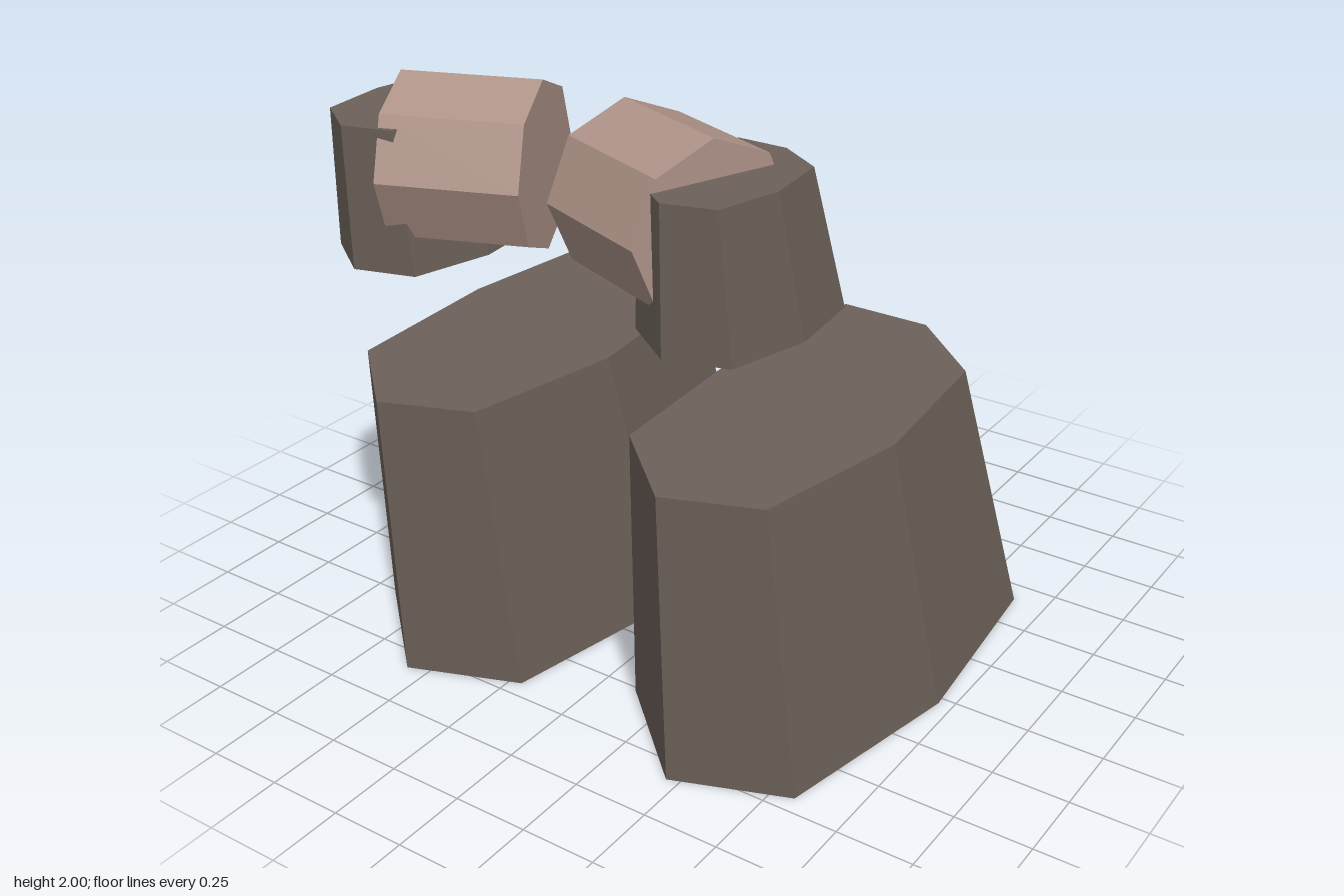
import * as THREE from 'three';

const brown = new THREE.MeshStandardMaterial({ color: 0x6d625a, flatShading: true });
brown.name = 'dark brown';
const tan = new THREE.MeshStandardMaterial({ color: 0xae9388, flatShading: true });
tan.name = 'dusty tan';

// Closed, leaning frustum: an [x, z] outline whose top is scaled and shifted
function leaningFrustum(outline, y0, y1, scale, shiftX, shiftZ) {
  const low = outline.map(([x, z]) => [x, y0, z]);
  const high = outline.map(([x, z]) => [x * scale + shiftX, y1, z * scale + shiftZ]);
  const tris = [];
  const n = outline.length;
  for (let i = 0; i < n; i++) {
    const j = (i + 1) % n;
    tris.push(low[i], high[i], low[j], low[j], high[i], high[j]);
    if (i > 0 && j > 0) {
      tris.push(low[0], low[i], low[j]);
      tris.push(high[0], high[j], high[i]);
    }
  }
  const geometry = new THREE.BufferGeometry();
  geometry.setAttribute('position', new THREE.Float32BufferAttribute(tris.flat(), 3));
  geometry.computeVertexNormals();
  return geometry;
}

export function createModel() {
  const group = new THREE.Group();
  const add = (name, geometry, material, x = 0, y = 0, z = 0) => {
    const mesh = new THREE.Mesh(geometry, material);
    mesh.name = name;
    mesh.position.set(x, y, z);
    group.add(mesh);
    return mesh;
  };

  // Feet: the same sloping block on both sides
  const foot = leaningFrustum([
    [-0.86, -0.96], [-0.48, -0.96], [-0.147, -0.66], [-0.08, 0.03],
    [-0.21, 0.69], [-0.575, 0.83], [-0.915, 0.515], [-0.953, -0.21],
  ], 0, 1, 0.8, -0.103, 0.223);
  add('rightFoot', foot, brown);
  add('leftFoot', foot, brown, 1.033);

  // Cuffs: smaller sloping blocks around the wrists
  const cuff = leaningFrustum([
    [-0.715, 0.25], [-0.52, 0.25], [-0.345, 0.36], [-0.318, 0.62],
    [-0.385, 0.87], [-0.572, 0.925], [-0.745, 0.8], [-0.768, 0.53],
  ], 1.445, 1.89, 0.8, -0.103, 0.203);
  add('rightCuff', cuff, brown);
  add('leftCuff', cuff, brown, 1.092);

  // Hands: eight-sided drums turned inwards
  const hand = new THREE.CylinderGeometry(0.256, 0.256, 0.424, 8).rotateZ(Math.PI / 2);
  add('rightHand', hand, tan, -0.332, 1.745, 0.642).rotation.y = 0.367;
  add('leftHand', hand, tan, 0.348, 1.745, 0.642).rotation.y = -0.367;

  return group;
}
